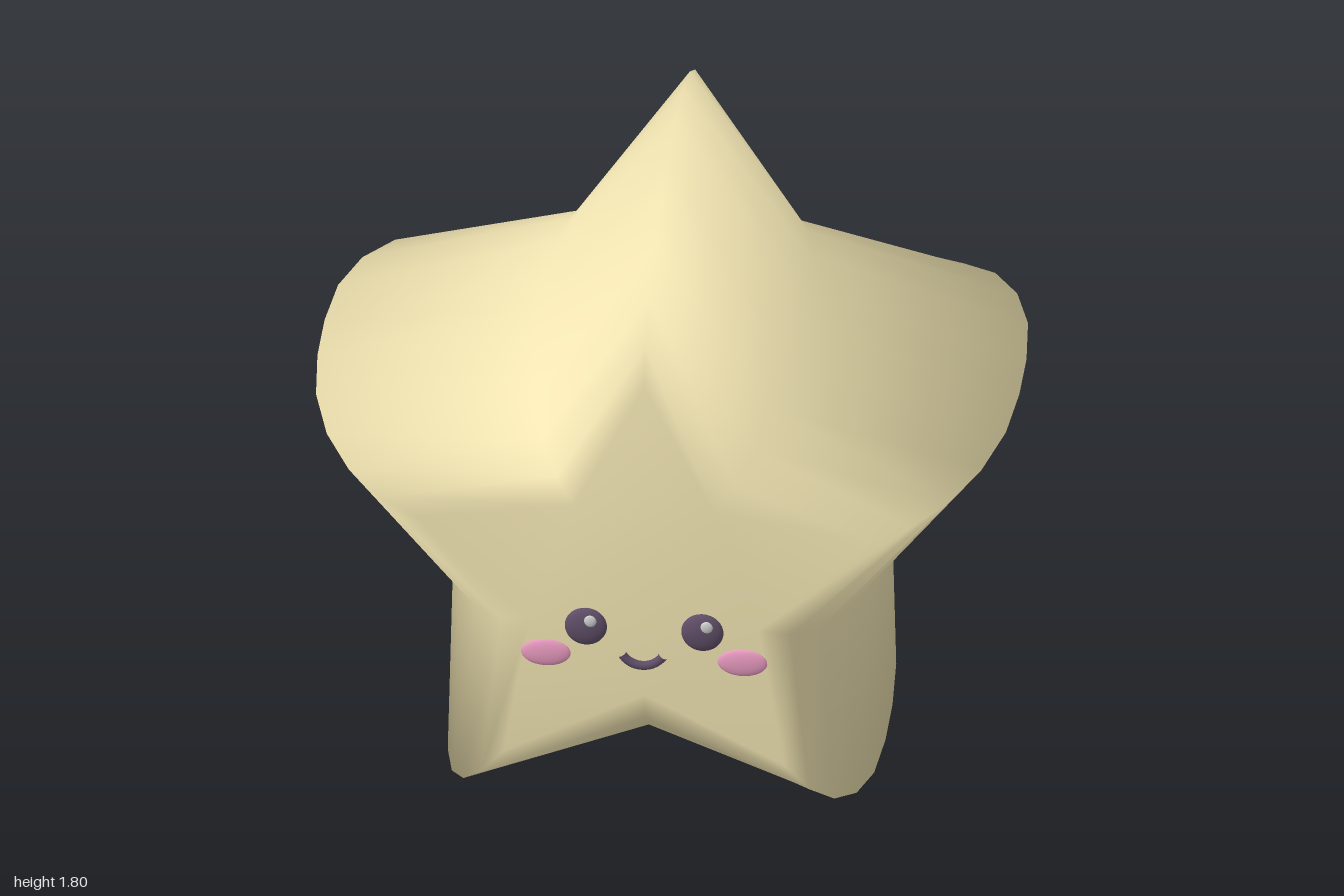
import * as THREE from 'three';
import { mergeVertices } from 'three/addons/utils/BufferGeometryUtils.js';

const TIP = 0.645, NOTCH = 0.323, CENTRE_Y = 0.805;
const FLAT = 0.18, BEVEL_DEPTH = 0.62, BEVEL_SIZE = 0.2475;
const FACE_Z = FLAT / 2 + BEVEL_DEPTH;

function mat(color) {
  return new THREE.MeshStandardMaterial({ color });
}

// Deep, softly bulging five-pointed star with smooth normals
function starGeometry() {
  const points = [];
  for (let i = 0; i < 10; i++) {
    const a = Math.PI / 2 + (i * Math.PI) / 5;
    const r = i % 2 ? NOTCH : TIP;
    points.push(new THREE.Vector2(r * Math.cos(a), r * Math.sin(a)));
  }
  let g = new THREE.ExtrudeGeometry(new THREE.Shape(points), {
    depth: FLAT, bevelEnabled: true, bevelThickness: BEVEL_DEPTH,
    bevelSize: BEVEL_SIZE, bevelSegments: 5, steps: 1,
  });
  g.translate(0, 0, -FLAT / 2);
  g.deleteAttribute('uv');
  g.deleteAttribute('normal');
  g = mergeVertices(g, 1e-4);
  g.computeVertexNormals();
  return g;
}

export function createModel() {
  const model = new THREE.Group();
  model.name = 'starCushion';

  // Everything is built facing +z, then turned toward its right
  const star = new THREE.Group();
  star.name = 'star';
  star.position.y = CENTRE_Y;
  star.rotation.y = -0.5;
  model.add(star);

  const add = (name, geometry, material, x, y, z) => {
    const mesh = new THREE.Mesh(geometry, material);
    mesh.name = name;
    mesh.position.set(x, y, z);
    star.add(mesh);
    return mesh;
  };

  add('body', starGeometry(), mat(0xf3e6b3), 0, 0, 0);

  // Eyes, highlights and cheeks, as flattened balls on the front
  const ball = new THREE.SphereGeometry(1, 24, 16);
  const dark = mat(0x5e4d66), white = mat(0xffffff), pink = mat(0xe89abf);
  for (const [side, s] of [['left', 1], ['right', -1]]) {
    add(side + 'Eye', ball, dark, s * 0.157, -0.115, FACE_Z).scale.set(0.057, 0.057, 0.022);
    add(side + 'EyeHighlight', ball, white, s * 0.157 + 0.013, -0.09, FACE_Z + 0.017)
      .scale.set(0.017, 0.018, 0.007);
    add(side + 'Cheek', ball, pink, s * 0.265, -0.204, FACE_Z).scale.set(0.067, 0.041, 0.012);
  }

  // Smile: the lower third of a ring
  const arc = (2 * Math.PI) / 3;
  const smile = new THREE.TorusGeometry(0.064, 0.013, 8, 20, arc);
  smile.rotateZ(-Math.PI / 2 - arc / 2);
  add('smile', smile, dark, -0.004, -0.163, FACE_Z + 0.003);

  return model;
}
